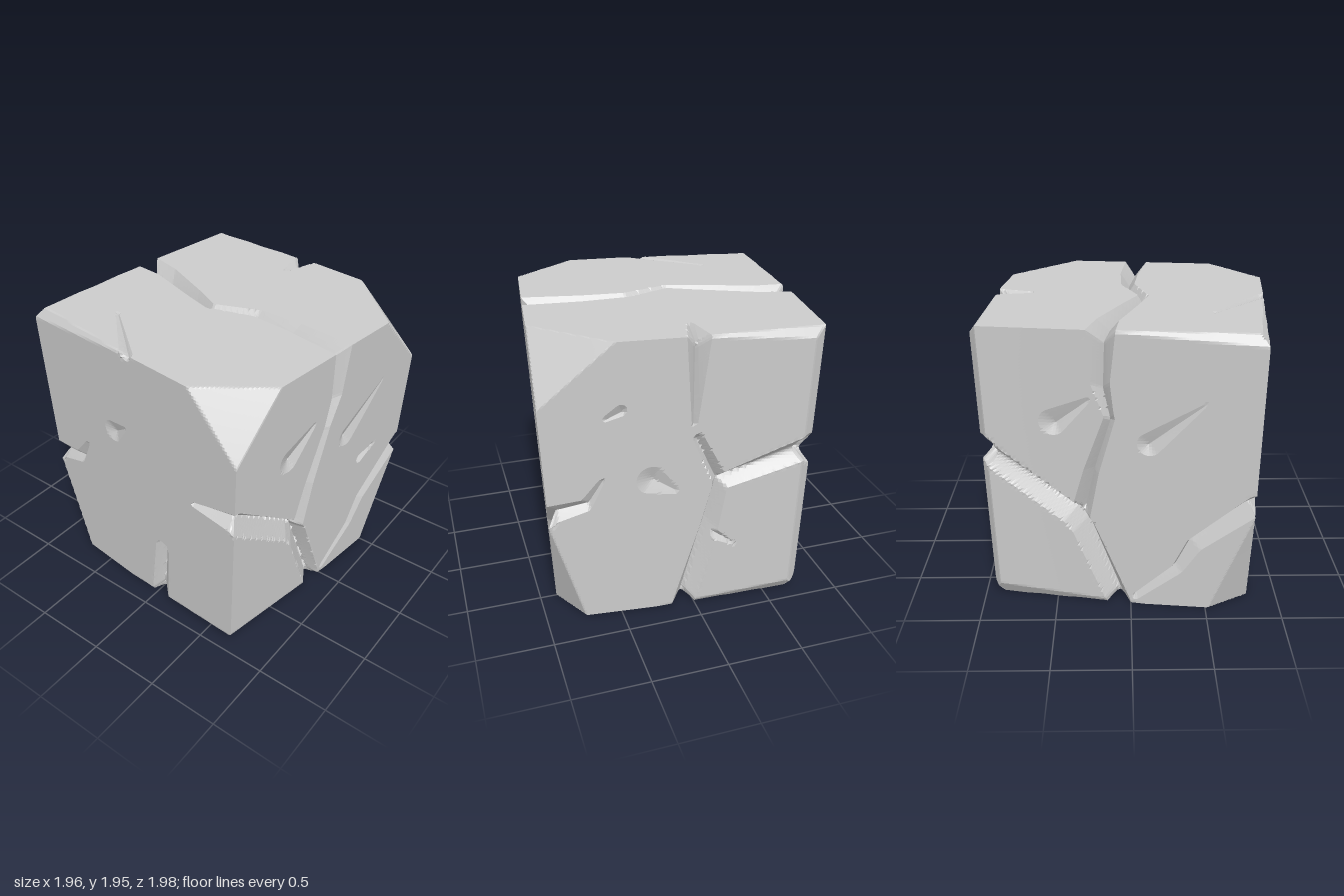
import * as THREE from 'three';

const N = 96;            // grid cells along each side of the block
const CELL = 2 / N;
const MID = 0.975;       // half the height
const { lerp, clamp } = THREE.MathUtils;

// Corners of the slightly turned, tapering block as [x, z]: front left, front right, back left, back right
const TOP = [[-0.99, 0.8], [0.79, 1.0], [-0.8, -1.0], [0.985, -0.77]];
const BOTTOM = [[-0.95, 0.72], [0.76, 0.92], [-0.78, -0.91], [0.94, -0.72]];

// A plane that takes off a cube corner, meeting its three edges at the given distances
const cut = (sx, sy, sz, dx, dy, dz) => ({
  normal: new THREE.Vector3(sx / dx, sy / dy, sz / dz),
  limit: 1 / dx + 1 / dy + 1 / dz - 1,
});
const cuts = [
  // broken top corners at the front
  cut(-1, 1, 1, 0.4, 0.41, 0.44),
  cut(1, 1, 1, 0.43, 0.41, 0.55),
  // worn edges at the back
  cut(-1, 1, -1, 0.06, 0.07, 1.1),
  cut(-1, 1, -1, 1.2, 0.07, 0.06),
  cut(1, 1, -1, 0.06, 0.07, 1),
  cut(1, 1, -1, 0.06, 50, 0.08),
];
// Wear around the foot comes in opposite pairs
for (const s of [1, -1]) {
  cuts.push(
    cut(s, -1, s, 0.3, 0.74, 0.22),
    cut(-s, -1, s, 1.2, 0.115, 0.08),
    cut(-s, -1, s, 0.08, 0.1, 1.2),
  );
}

// Pull a point of the cube (side 2) inside every cut
function clip(p) {
  let k = 1;
  for (const { normal, limit } of cuts) {
    const along = normal.dot(p);
    if (along > limit) k = Math.min(k, limit / along);
  }
  return p.multiplyScalar(k);
}

// Map the cube onto the tapering block
function shapeBlock(p) {
  const u = (p.x + 1) / 2, v = (p.y + 1) / 2, s = (1 - p.z) / 2;
  const mix = (c, k) => lerp(lerp(c[0][k], c[1][k], u), lerp(c[2][k], c[3][k], u), s);
  return p.set(lerp(mix(BOTTOM, 0), mix(TOP, 0), v), p.y * MID, lerp(mix(BOTTOM, 1), mix(TOP, 1), v));
}

// Faces of the cube, with u to the right and v up as seen from outside
const front = (u, v) => [u, v, 1];
const back = (u, v) => [-u, v, -1];
const right = (u, v) => [1, v, -u];
const left = (u, v) => [-1, v, u];
const top = (u, v) => [u, 1, -v];
const bottom = (u, v) => [u, -1, v];

// A groove along a path, with half widths at both ends and its depth relative to them
const segments = [];
function groove(face, w0, w1, steep, ...path) {
  const pts = path.map(([u, v]) => shapeBlock(clip(new THREE.Vector3(...face(u, v)))));
  const last = pts.length - 1;
  for (let i = 0; i < last; i++) {
    const dir = pts[i + 1].clone().sub(pts[i]);
    segments.push({
      start: pts[i], dir, len2: dir.lengthSq(), steep,
      w0: lerp(w0, w1, i / last), w1: lerp(w0, w1, (i + 1) / last),
    });
  }
}

// Cracks and scars shared by the front and back
for (const face of [front, back]) {
  groove(face, 0.035, 0.065, 1.5, [-0.05, 0.42], [-0.19, 0.03], [-0.28, -0.3]);
  groove(face, 0.08, 0.08, 1.4, [-0.99, 0.15], [-0.34, -0.3], [-0.26, -0.4], [0, -1]);
  groove(face, 0.07, 0.025, 1.1, [1, -0.16], [0.57, -0.49], [0.45, -0.69], [0.13, -0.94]);
  groove(face, 0.09, 0.02, 0.45, [-0.45, 0.38], [-0.2, 0.54]);
  groove(face, 0.08, 0.01, 0.4, [0.23, 0.25], [0.61, 0.54]);
}
groove(front, 0.08, 0.03, 1.6, [0.045, 1], [0.03, 0.66], [-0.05, 0.42]);
groove(back, 0.09, 0.03, 1.6, [-0.1, 1], [-0.11, 0.66], [-0.05, 0.42]);
groove(front, 0.04, 0.01, 1, [0.47, -0.07], [0.64, -0.02]);

// Edge notches shared by both flanks
for (const face of [right, left]) groove(face, 0.07, 0.02, 1, [-1, -0.16], [-0.72, -0.11], [-0.59, 0.06]);

// Forked crack and chips on the right
groove(right, 0.075, 0.02, 1.6, [0.11, 1], [0.09, 0.42]);
groove(right, 0.035, 0.08, 1.5, [0.12, 0.31], [0.3, -0.03], [0.22, -0.38], [0.03, -1]);
groove(right, 0.06, 0.09, 1.3, [0.3, -0.03], [0.99, 0.17]);
groove(right, 0.04, 0.02, 1, [-0.43, 0.55], [-0.54, 0.5]);
groove(right, 0.1, 0.03, 0.35, [-0.22, 0.03], [-0.05, -0.06]);
groove(right, 0.04, 0.01, 0.9, [0.26, -0.44], [0.44, -0.54]);

// Short cracks and a chip on the left
groove(left, 0.08, 0.02, 1.3, [0.99, 0.15], [0.6, 0.11]);
groove(left, 0.06, 0.08, 1.3, [0.23, -0.49], [0.17, -1]);
groove(left, 0.08, 0.02, 0.4, [-0.23, 0.33], [-0.1, 0.4]);

// Crack across the top, with two side notches
groove(top, 0.09, 0.035, 1.5, [0.1, 1], [0.08, 0.76], [-0.04, 0.34], [-0.11, 0.1]);
groove(top, 0.03, 0.08, 1.5, [-0.11, 0.1], [0.04, -0.23], [0.06, -0.57], [0.045, -1]);
groove(top, 0.075, 0.02, 1.2, [1, 0.11], [0.74, 0.1]);
groove(top, 0.04, 0.01, 0.8, [-1, 0], [-0.65, 0.49]);

// Cracks running in under the foot
groove(bottom, 0.07, 0.07, 0.8, [0, 1], [-0.1, 0.4], [-0.4, 0.2], [-1, 0.17]);
groove(bottom, 0.08, 0.03, 1, [1, -0.03], [0.6, 0]);
groove(bottom, 0.08, 0.03, 1, [0, -1], [0.03, -0.6]);

// Cut V-shaped grooves, pulling nearby vertices onto their rims and floors so the creases stay straight
function carve(p) {
  const near = new THREE.Vector3();
  const floor = new THREE.Vector3();
  let depth = -CELL, d = 0, w = 0, slope = 0;
  for (const { start, dir, len2, w0, w1, steep } of segments) {
    const t = clamp(near.subVectors(p, start).dot(dir) / len2, 0, 1);
    near.copy(start).addScaledVector(dir, t);
    const distance = near.distanceTo(p);
    const width = lerp(w0, w1, t);
    if ((width - distance) * steep > depth) {
      depth = (width - distance) * steep;
      floor.copy(near);
      d = distance;
      w = width;
      slope = steep;
    }
  }
  if (slope === 0) return;
  if (d < CELL / 2) {
    p.copy(floor);
    d = 0;
  } else if (Math.abs(d - w) < CELL / 2) {
    p.sub(floor).multiplyScalar(w / d).add(floor);
    d = w;
  }
  p.multiplyScalar(1 - Math.max(0, w - d) * slope / p.length());
}

export function createModel() {
  const geometry = new THREE.BoxGeometry(2, 2, 2, N, N, N);
  const position = geometry.attributes.position;
  const p = new THREE.Vector3();
  for (let i = 0; i < position.count; i++) {
    p.fromBufferAttribute(position, i);
    carve(shapeBlock(clip(p)));
    position.setXYZ(i, p.x, p.y + MID, p.z);
  }
  geometry.computeVertexNormals();

  const stone = new THREE.Mesh(geometry, new THREE.MeshStandardMaterial({ color: 0xcccccc, flatShading: true }));
  stone.name = 'crackedStoneBlock';
  const group = new THREE.Group();
  group.name = 'stoneBlock';
  group.add(stone);
  return group;
}
